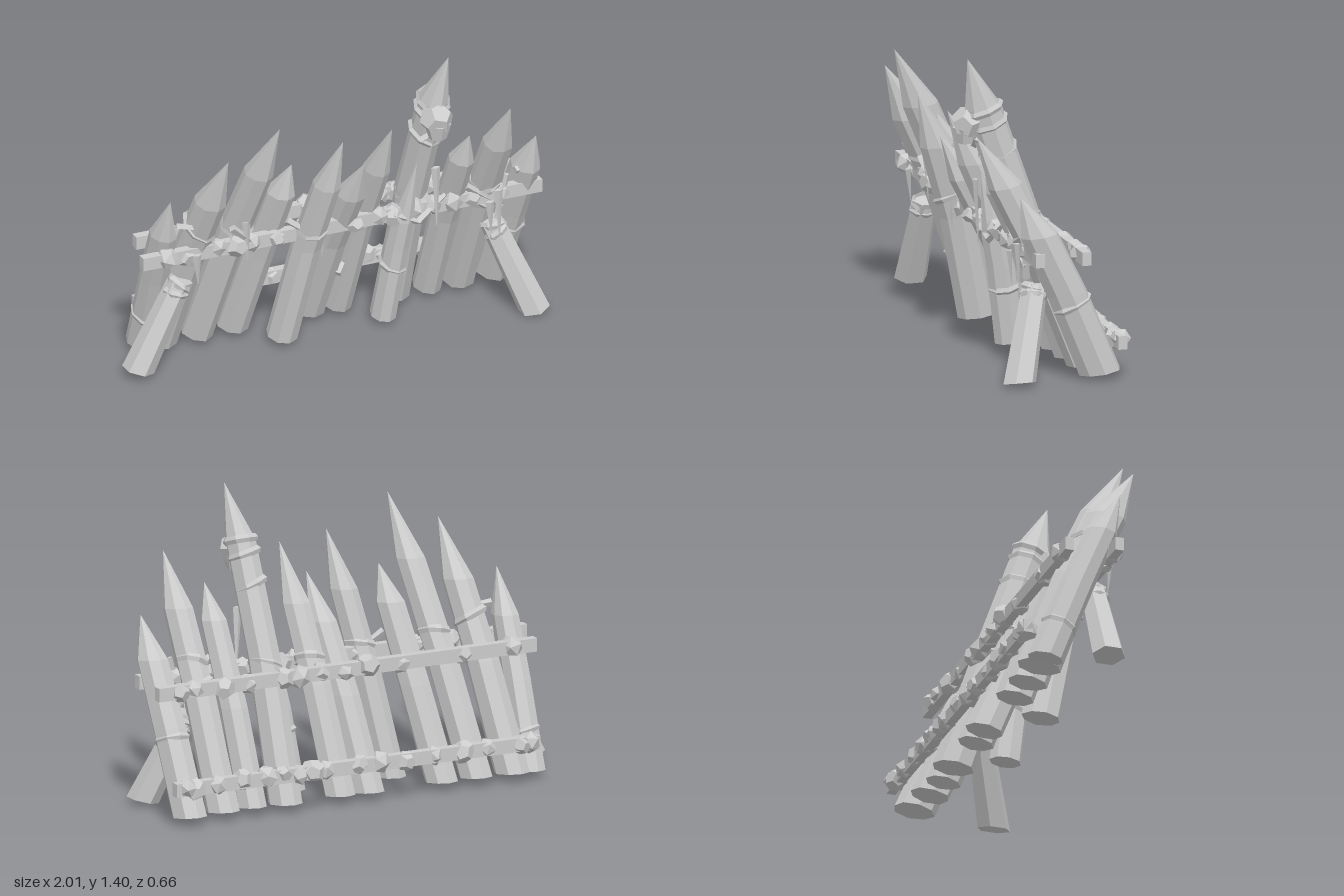
import * as THREE from 'three';

export function createModel() {
  const group = new THREE.Group();
  const grey = new THREE.MeshStandardMaterial({ color: 0xcccccc, flatShading: true });
  const V = (x, y, z) => new THREE.Vector3(x, y, z);
  const UP = V(0, 1, 0);

  // Small seeded random, from -1 to 1
  let seed = 7;
  const rnd = () => {
    seed = (seed * 16807) % 2147483647;
    return (seed / 2147483647) * 2 - 1;
  };

  function add(geometry, name, pos = V(0, 0, 0)) {
    const mesh = new THREE.Mesh(geometry, grey);
    mesh.name = name;
    mesh.position.copy(pos);
    group.add(mesh);
    return mesh;
  }

  // Straight piece from a to b: bottom radius r0, top radius r1
  function beam(name, a, b, r0, r1, sides, depth = 1) {
    const g = new THREE.CylinderGeometry(r1, r0, a.distanceTo(b), sides);
    g.scale(1, 1, depth);
    const mesh = add(g, name, a.clone().lerp(b, 0.5));
    mesh.quaternion.setFromUnitVectors(UP, b.clone().sub(a).normalize());
  }

  // Centre line of a stake: sags backwards, and curls sideways near the top
  const centre = (s, t) => {
    const c = s.base.clone().lerp(s.tip, t);
    c.x = THREE.MathUtils.lerp(s.base.x, s.tip.x, t ** s.curl);
    c.z -= s.sag * Math.sin(Math.PI * t);
    return c;
  };

  // Sharpened log: rows of one cylinder follow the lean, the last row is the point
  function stake(s) {
    const { base, tip, r } = s;
    const len = tip.y - base.y;
    const rows = [[1, 0.01], [1 - s.point / len, 0.93], [0.45, 1], [0, 1.04]];
    const sides = 8;
    const g = new THREE.CylinderGeometry(1, 1, 1, sides, 3);
    const p = g.attributes.position;
    const wobble = Array.from({ length: sides }, () => 1 + 0.06 * rnd());
    const slope = (tip.z - base.z) / len;
    for (let i = 0; i < p.count; i++) {
      const [t, k] = rows[Math.round((0.5 - p.getY(i)) * 3)];
      const x = p.getX(i), z = p.getZ(i);
      const side = Math.round((Math.atan2(z, x) / (2 * Math.PI)) * sides + sides) % sides;
      const w = Math.hypot(x, z) < 0.1 ? 0 : wobble[side] * r * k;
      const c = centre(s, t);
      p.setXYZ(i, c.x + x * w, c.y - z * w * slope * 0.4, c.z + z * w * 1.3);
    }
    g.computeVertexNormals();
    add(g, 'stake');
  }

  // base x, base z, tip x, tip y, tip z, radius, length of point, sag, curl
  const stakes = [
    [-0.82, -0.2, -0.83, 0.89, 0.15, 0.062, 0.2, 0.01, 1],
    [-0.73, -0.2, -0.61, 1.11, 0.29, 0.074, 0.25, 0.035, 1],
    [-0.55, -0.19, -0.375, 1.245, 0.325, 0.068, 0.27, 0.035, 1],
    [-0.38, -0.19, -0.25, 0.97, 0.17, 0.065, 0.16, 0.01, 1],
    [-0.22, -0.005, -0.065, 1.115, 0.32, 0.066, 0.25, 0.035, 1],
    [-0.01, -0.2, 0.065, 0.95, 0.26, 0.066, 0.2, 0.035, 1],
    [0.13, -0.19, 0.195, 1.1, 0.27, 0.062, 0.25, 0.03, 1],
    [0.27, 0.0, 0.36, 0.85, 0.17, 0.055, 0.3, 0.02, 1],
    [0.405, -0.2, 0.47, 1.405, 0.27, 0.07, 0.24, 0.01, 4],
    [0.565, -0.19, 0.59, 0.97, 0.23, 0.06, 0.15, 0.03, 1],
    [0.715, -0.2, 0.75, 1.115, 0.32, 0.068, 0.23, 0.035, 1],
    [0.89, -0.21, 0.935, 0.875, 0.18, 0.071, 0.18, 0.015, 1],
  ].map(([bx, bz, tx, ty, tz, r, point, sag, curl]) =>
    ({ base: V(bx, 0.035, bz), tip: V(tx, ty, tz), r, point, sag, curl }));
  stakes.forEach(stake);

  // Slanting props at both ends, cut level with the ground
  const props = [
    [V(-0.945, 0.035, 0.055), V(-0.74, 0.44, 0.055), -1],
    [V(0.925, 0.02, 0.18), V(0.77, 0.43, 0.055), 1],
  ];
  for (const [a, b, side] of props) {
    const g = new THREE.CylinderGeometry(0.055, 0.07, 1, 6);
    const p = g.attributes.position;
    for (let i = 0; i < p.count; i++) {
      const c = a.clone().lerp(b, p.getY(i) + 0.5);
      const x = p.getX(i);
      p.setXYZ(i, c.x + x, c.y + side * x * 0.25, c.z + p.getZ(i) * 1.1);
    }
    g.computeVertexNormals();
    add(g, 'prop');
  }

  // Rails with lumpy knots: y, z, start x, end x, knot positions
  const rails = [
    [0.59, 0.105, -0.95, 0.99, [-0.83, -0.74, -0.58, -0.49, -0.42, -0.3, -0.1, 0.08, 0.2, 0.27, 0.38, 0.46, 0.56, 0.65, 0.8]],
    [0.585, -0.11, -0.89, 1, [-0.77, -0.53, -0.22, -0.05, 0.07, 0.18, 0.29, 0.37, 0.54, 0.67, 0.82, 0.89]],
    [0.185, -0.28, -0.82, 1, [-0.78, -0.73, -0.56, -0.44, -0.3, -0.15, -0.03, 0.08, 0.25, 0.31, 0.38, 0.46, 0.54, 0.66, 0.79, 0.9, 0.94]],
  ];
  for (const [y, z, x0, x1, knots] of rails) {
    add(new THREE.BoxGeometry(x1 - x0, 0.062, 0.042), 'rail', V((x0 + x1) / 2, y, z));
    knots.forEach((x, i) => {
      const size = i % 3 === 0 ? 0.058 : 0.05;
      const g = i % 2 ? new THREE.DodecahedronGeometry(size) : new THREE.IcosahedronGeometry(size);
      const knot = add(g, 'knot', V(x, y + 0.01 * rnd(), z + 0.01 * rnd()));
      knot.rotation.set(3 * rnd(), 3 * rnd(), 3 * rnd());
      knot.scale.set(1, 0.85 + 0.1 * rnd(), 0.9);
    });
  }

  // Flat rope band wound round a leaning log
  function band(pos, axis, r, depth, tilt) {
    const g = new THREE.TorusGeometry(r, 0.01, 4, 8);
    g.rotateX(Math.PI / 2);
    g.scale(1, 1.8, depth);
    g.rotateZ(tilt);
    const ring = add(g, 'ropeBand', pos);
    ring.quaternion.setFromUnitVectors(UP, axis.normalize());
  }
  // stake index, height, tilt
  const bands = [
    [0, 0.2, -0.2], [1, 0.7, -0.25], [2, 0.66, 0.35], [4, 0.62, 0.4], [6, 0.62, 0.3],
    [7, 0.3, -0.1], [8, 1.16, 0.1], [8, 1.1, -0.15], [8, 0.97, -0.3], [8, 0.63, 0.4],
    [10, 0.66, 0.45], [10, 0.56, -0.35], [11, 0.36, 0.1],
  ];
  for (const [i, y, tilt] of bands) {
    const s = stakes[i];
    const t = (y - s.base.y) / (s.tip.y - s.base.y);
    band(centre(s, t), centre(s, t + 0.05).sub(centre(s, t - 0.05)), s.r, 1.2, tilt);
  }
  for (const [a, b] of props) {
    band(a.clone().lerp(b, 0.88), b.clone().sub(a), 0.052, 1.1, 0.2);
    band(a.clone().lerp(b, 0.96), b.clone().sub(a), 0.05, 1.1, -0.25);
  }

  // Cords slung across the front: start and end x, y, z
  const cords = [
    [-0.53, 0.7, 0.15, -0.4, 0.58, 0.13], [-0.78, 0.74, 0.1, -0.66, 0.72, 0.14],
    [0.26, 0.6, 0.14, 0.38, 0.54, 0.14], [0.38, 0.54, 0.14, 0.52, 0.64, 0.12],
    [0.36, 0.98, 0.2, 0.45, 1.03, 0.22], [0.62, 0.66, 0.12, 0.8, 0.52, 0.11],
    [0.78, 0.46, 0.1, 0.82, 0.68, 0.12], [0.86, 0.69, 0.12, 0.98, 0.7, 0.1],
    [-0.25, 0.67, 0.12, -0.13, 0.58, 0.15], [0.06, 0.27, -0.02, 0.11, 0.31, -0.06],
  ];
  for (const [x0, y0, z0, x1, y1, z1] of cords)
    beam('cord', V(x0, y0, z0), V(x1, y1, z1), 0.018, 0.012, 4);

  // Pointed rags hanging down: x, top y, z, length
  const rags = [
    [0.43, 0.84, 0.22, 0.3], [-0.46, 0.72, 0.15, 0.2], [-0.1, 0.62, 0.16, 0.15],
    [0.77, 0.62, 0.14, 0.24], [0.72, 0.58, 0.16, 0.16], [-0.7, 0.6, 0.15, 0.15],
  ];
  for (const [x, y, z, len] of rags)
    beam('rag', V(x + 0.01, y - len, z - 0.01), V(x, y, z), 0.002, 0.022, 4, 0.6);

  // Skull tied to the tall stake: rounded head and tapering jaw
  const head = add(new THREE.DodecahedronGeometry(0.078), 'skull', V(0.42, 1.1, 0.25));
  head.rotation.set(0.2, 0.3, 0.1);
  beam('skullJaw', V(0.42, 1.01, 0.265), V(0.42, 1.08, 0.262), 0.04, 0.062, 6);

  return group;
}
